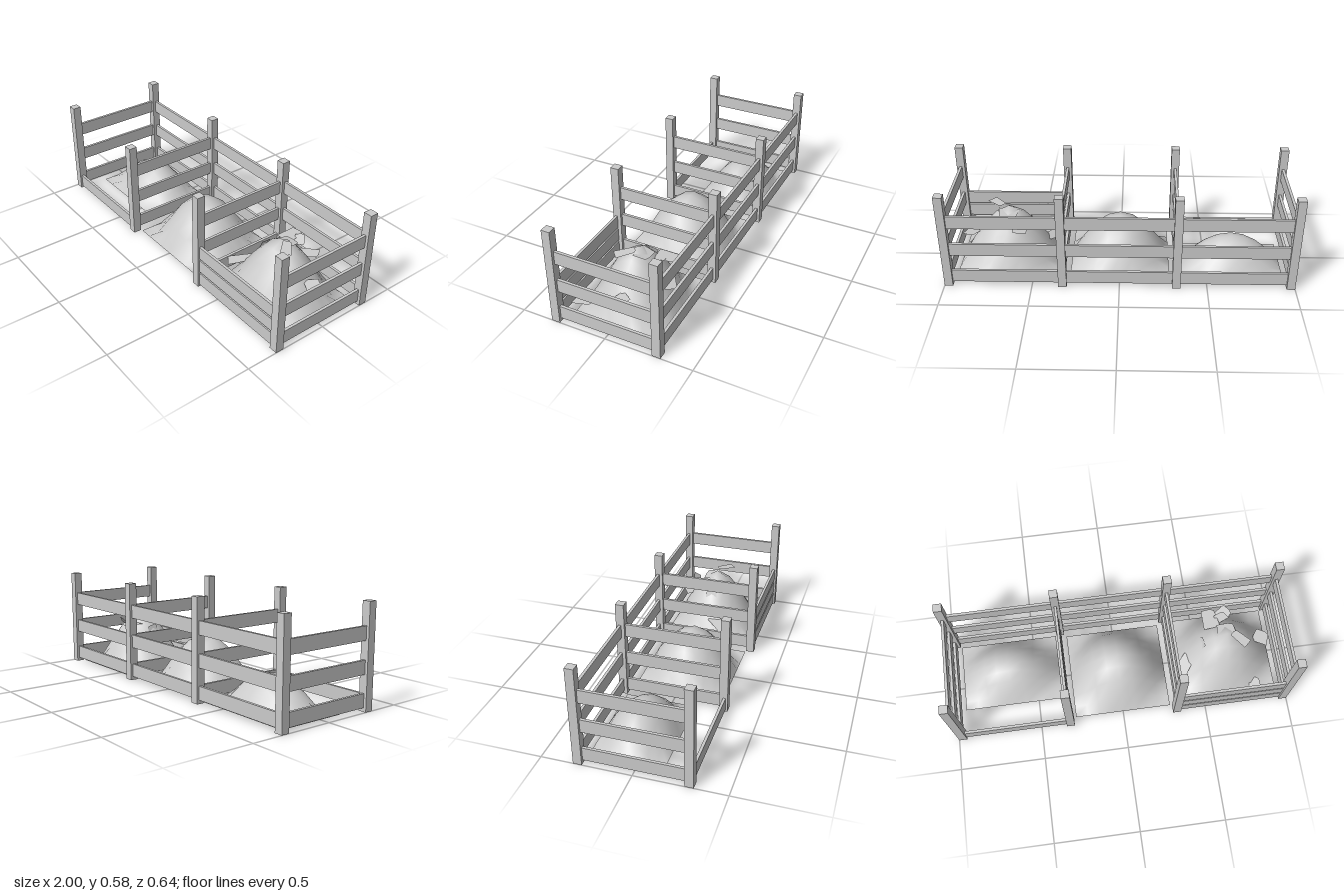
import * as THREE from 'three';

const material = new THREE.MeshStandardMaterial({ color: 0xcccccc });
const thin = new THREE.MeshStandardMaterial({ color: 0xcccccc, side: THREE.DoubleSide });

const POST = 0.048, HEIGHT = 0.58, BOARD = 0.077, THICK = 0.016;
const POST_X = [-0.976, -0.325, 0.325, 0.976], POST_Z = 0.297;
const RAILS = [0.06, 0.237, 0.415];

function box(group, name, size, position) {
  const mesh = new THREE.Mesh(new THREE.BoxGeometry(...size), material);
  mesh.name = name;
  mesh.position.set(...position);
  group.add(mesh);
}

// Rectangular sheet raised into a mound, flat at its corners
function pile(name, x, z, width, depth, height, power) {
  const geo = new THREE.PlaneGeometry(width, depth, 8, 8).rotateX(-Math.PI / 2);
  const p = geo.attributes.position;
  for (let i = 0; i < p.count; i++) {
    const r = Math.hypot(p.getX(i) / (width / 2), p.getZ(i) / (depth / 2));
    p.setY(i, height * Math.max(0, 1 - r ** power) + 0.002);
  }
  geo.computeVertexNormals();
  const mesh = new THREE.Mesh(geo, thin);
  mesh.name = name;
  mesh.position.set(x, 0, z);
  return mesh;
}

// Flat, slightly tapered scrap
function scrap([x, y, z, width, length, turn, tiltX, tiltZ]) {
  const w = width / 2, l = length / 2;
  const shape = new THREE.Shape([
    new THREE.Vector2(-w, -l), new THREE.Vector2(w, -l),
    new THREE.Vector2(w * 0.8, l * 0.8), new THREE.Vector2(w * 0.3, l), new THREE.Vector2(-w * 0.75, l),
  ]);
  const mesh = new THREE.Mesh(new THREE.ShapeGeometry(shape).rotateX(-Math.PI / 2), thin);
  mesh.name = 'scrap';
  mesh.position.set(x, y, z);
  mesh.rotation.set(tiltX, turn, tiltZ, 'XZY');
  return mesh;
}

export function createModel() {
  const model = new THREE.Group();
  model.name = 'compostBins';

  // Posts and the side walls between them
  for (const x of POST_X) {
    for (const z of [-POST_Z, POST_Z]) box(model, 'post', [POST, HEIGHT, POST], [x, HEIGHT / 2, z]);
    for (const y of RAILS) box(model, 'sideBoard', [THICK, BOARD, 2 * POST_Z - POST], [x, y, 0]);
  }

  // Back boards, and front boards: one on the left bay, none in the middle, three on the right
  const frontHeights = [[0.05], [], [0.05, 0.138, 0.226]];
  for (let bay = 0; bay < 3; bay++) {
    const x = (POST_X[bay] + POST_X[bay + 1]) / 2;
    const length = POST_X[bay + 1] - POST_X[bay] - POST;
    for (const y of RAILS) box(model, 'backBoard', [length, BOARD, THICK], [x, y, -0.299]);
    for (const y of frontHeights[bay]) box(model, 'frontBoard', [length, BOARD, THICK], [x, y, 0.302]);
  }

  // Mounds of compost
  model.add(pile('lowPile', -0.65, -0.065, 0.59, 0.41, 0.195, 2));
  model.add(pile('middlePile', 0, 0.007, 0.576, 0.53, 0.283, 2));
  model.add(pile('highPile', 0.65, -0.013, 0.59, 0.52, 0.353, 1.6));

  // Scraps lying on the high mound: x, y, z, width, length, turn, tiltX, tiltZ
  const scraps = new THREE.Group();
  scraps.name = 'scraps';
  [
    [0.67, 0.19, -0.2, 0.09, 0.11, -0.9, 0.08, 0.1],
    [0.575, 0.285, -0.145, 0.1, 0.12, 0.1, 0, 0.05],
    [0.65, 0.325, -0.05, 0.12, 0.08, 0, -0.15, 0.1],
    [0.4, 0.11, 0.065, 0.09, 0.14, -0.65, 0.1, 0.2],
    [0.88, 0.18, -0.03, 0.1, 0.08, -0.45, 0.15, -0.1],
    [0.82, 0.03, 0.235, 0.08, 0.12, 0, 0.2, 0],
    [0.51, 0.24, -0.015, 0.07, 0.07, 0.2, 0.1, 1.2],
    [0.72, 0.355, 0.025, 0.06, 0.11, 0.75, 0.05, -0.06],
    [0.64, 0.29, -0.145, 0.08, 0.06, 0.5, 0.9, 0.1],
  ].forEach((s) => scraps.add(scrap(s)));
  model.add(scraps);

  return model;
}
